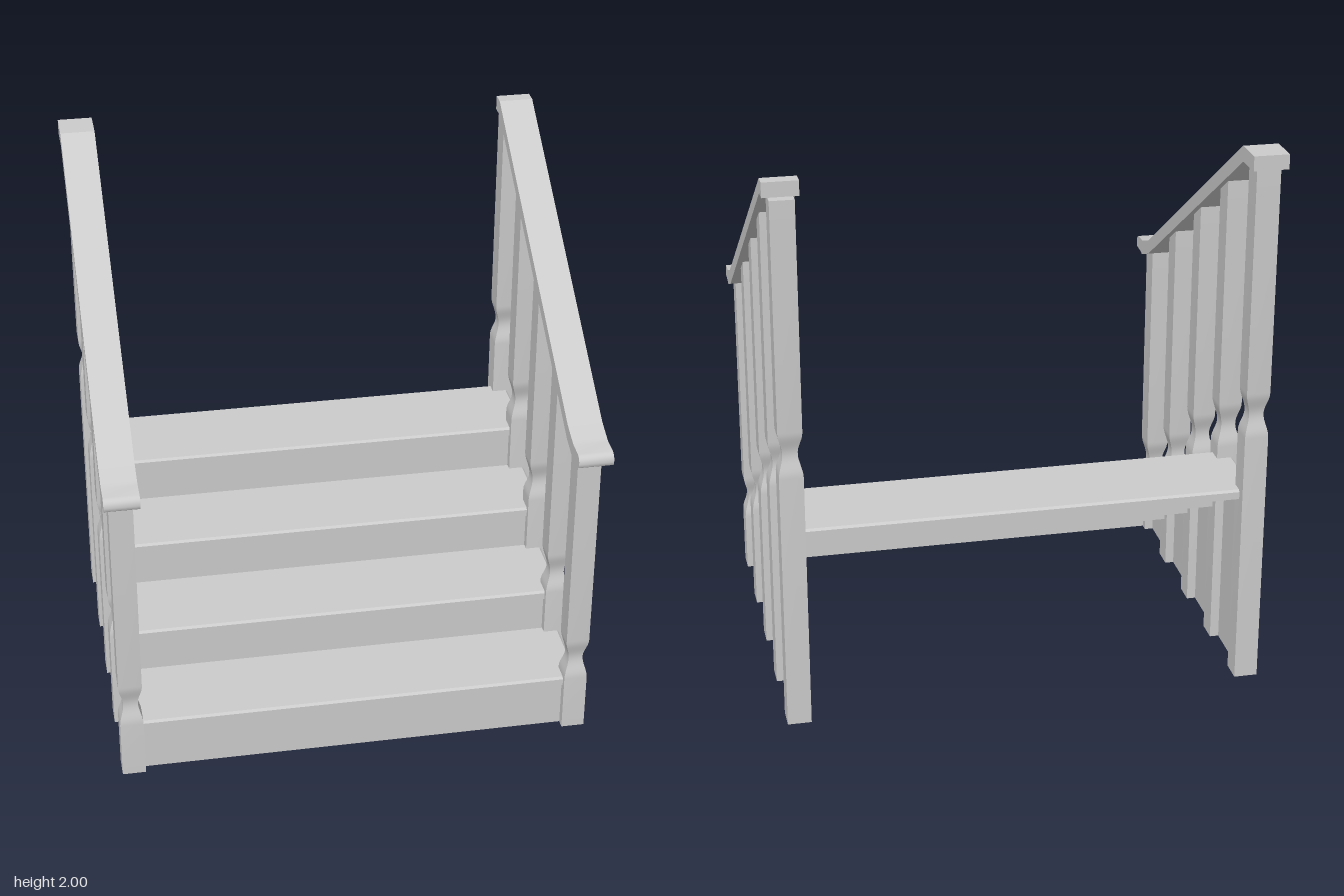
import * as THREE from 'three';
import { toCreasedNormals } from 'three/addons/utils/BufferGeometryUtils.js';

const mat = new THREE.MeshStandardMaterial({ color: 0xcccccc, side: THREE.DoubleSide });
const POST_X = 0.8225, POST_HALF = 0.0425;
const postZ = [0.592, 0.282, -0.028, -0.338, -0.648];
const waistY = [0.305, 0.48, 0.695, 0.87, 1.04];
const treadTop = [0.215, 0.39, 0.565, 0.74];
const treadFront = [0.617, 0.308, -0.003, -0.315];

function add(parent, geometry, name, x = 0, y = 0, z = 0) {
  const mesh = new THREE.Mesh(geometry, mat);
  mesh.name = name;
  mesh.position.set(x, y, z);
  parent.add(mesh);
  return mesh;
}

// Height of the handrail underside at depth z
function railUnderside(z) {
  if (z > 0.544) return 1.212 - (z - 0.544) * 0.378;
  if (z < -0.6) return 1.947;
  return 1.212 + (0.544 - z) * 0.6425;
}

// Square baluster with a smooth hourglass waist and a top cut to the rail
function postGeometry(z, waist) {
  const rows = 15, reach = 0.085;
  const geo = new THREE.CylinderGeometry(POST_HALF * Math.SQRT2, POST_HALF * Math.SQRT2, 1, 4, rows, false, Math.PI / 4);
  const p = geo.attributes.position;
  for (let i = 0; i < p.count; i++) {
    const row = Math.round((p.getY(i) + 0.5) * rows);
    if (row === 0) p.setY(i, 0);
    else if (row === rows) p.setY(i, railUnderside(z + p.getZ(i)));
    else {
      const t = ((row - 1) / (rows - 2)) * 2 - 1;
      const k = 1 - 0.38 * Math.cos((t * Math.PI) / 2) ** 2;
      p.setXYZ(i, p.getX(i) * k, waist + t * reach, p.getZ(i) * k);
    }
  }
  return toCreasedNormals(geo, 0.7);
}

// Tread board with a small chamfer around its upper edge
function treadGeometry(width, depth, thick) {
  const geo = new THREE.BoxGeometry(width, thick, depth, 1, 2, 1);
  const p = geo.attributes.position, c = 0.008;
  for (let i = 0; i < p.count; i++) {
    const y = p.getY(i);
    if (Math.abs(y) < 1e-5) p.setY(i, thick / 2 - c);
    else if (y > 0) {
      p.setX(i, p.getX(i) - Math.sign(p.getX(i)) * c);
      p.setZ(i, p.getZ(i) - Math.sign(p.getZ(i)) * c);
    }
  }
  return toCreasedNormals(geo, 0.3);
}

// Handrail side profile (drawn in z, y) extruded across its width
function railGeometry(backEnd, bendZ) {
  const s = new THREE.Shape();
  s.moveTo(backEnd, 1.947);
  s.lineTo(backEnd, 2);
  s.lineTo(bendZ, 2);
  s.lineTo(0.544, 1.268);
  s.quadraticCurveTo(0.59, 1.25, 0.632, 1.236);
  s.lineTo(0.69, 1.235);
  s.quadraticCurveTo(0.714, 1.23, 0.714, 1.205);
  s.quadraticCurveTo(0.714, 1.187, 0.7, 1.186);
  s.quadraticCurveTo(0.66, 1.186, 0.634, 1.178);
  s.lineTo(0.544, 1.212);
  s.lineTo(-0.6, 1.947);
  const geo = new THREE.ExtrudeGeometry(s, { depth: 0.125, bevelEnabled: false, curveSegments: 5 });
  geo.translate(0, 0, -0.0625).rotateY(-Math.PI / 2);
  return toCreasedNormals(geo, 0.5);
}

export function createModel() {
  const model = new THREE.Group();
  model.name = 'porchSteps';
  const thick = 0.035;

  // Treads and risers, open underneath
  treadTop.forEach((top, i) => {
    const front = treadFront[i];
    const back = i < 3 ? postZ[i + 1] + 0.008 : -0.655;
    add(model, treadGeometry(1.68, front - back, thick), 'tread', 0, top - thick / 2, (front + back) / 2);
    const low = i ? treadTop[i - 1] - thick : 0;
    const high = top - thick;
    add(model, new THREE.BoxGeometry(1.64, high - low, 0.02), 'riser', 0, (low + high) / 2, postZ[i]);
  });

  // Sides: panels between posts, posts and a rail
  for (const side of [1, -1]) {
    const rail = new THREE.Group();
    rail.name = side > 0 ? 'leftSide' : 'rightSide';
    model.add(rail);
    treadTop.forEach((top, i) => {
      const h = top - thick;
      add(rail, new THREE.BoxGeometry(0.02, h, postZ[i] - postZ[i + 1]), 'sidePanel',
        side * POST_X, h / 2, (postZ[i] + postZ[i + 1]) / 2);
    });
    postZ.forEach((z, i) => add(rail, postGeometry(z, waistY[i]), 'post', side * POST_X, 0, z));
    add(rail, side > 0 ? railGeometry(-0.655, -0.605) : railGeometry(-0.714, -0.59), 'handrail', side * POST_X);
  }
  return model;
}
